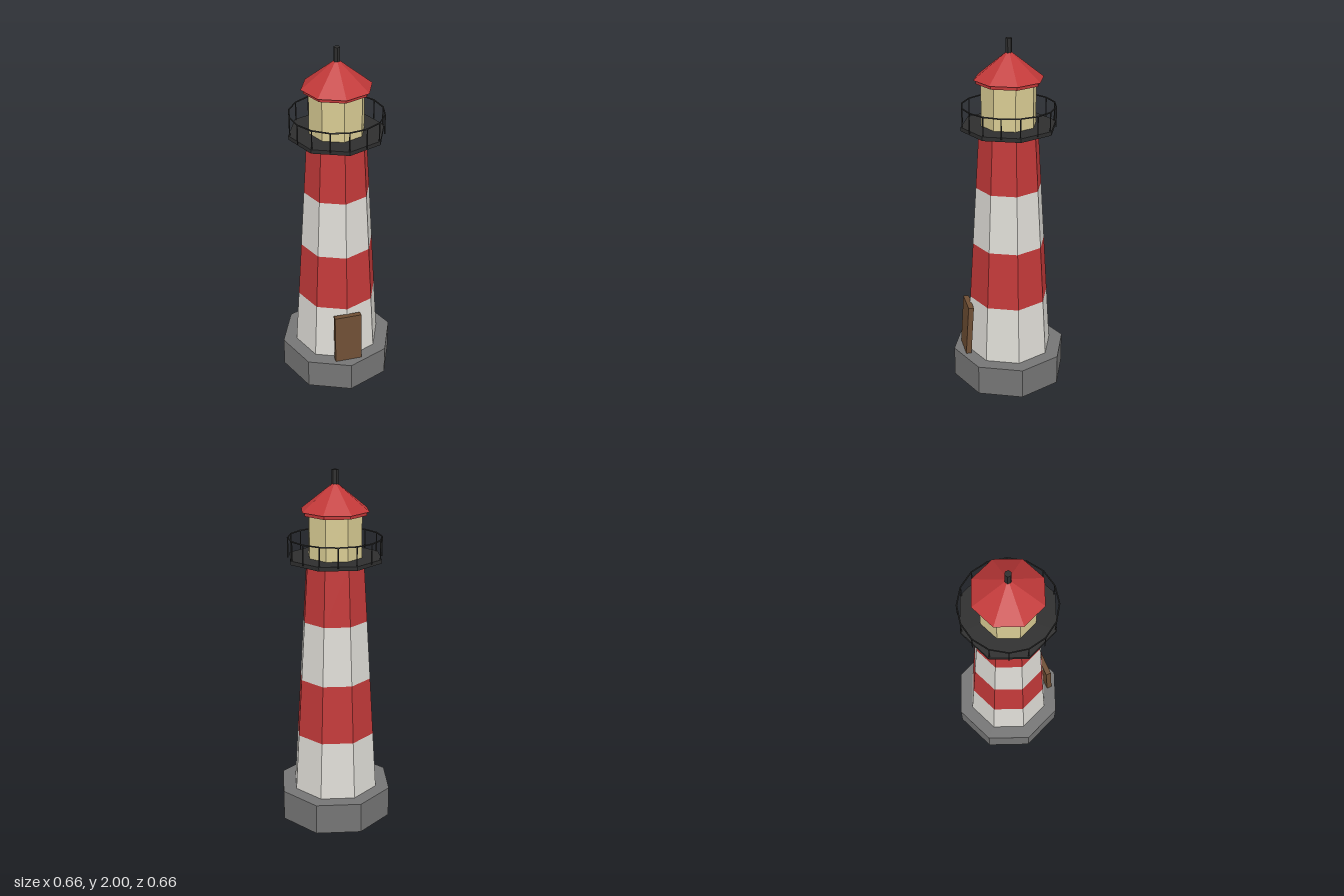
import * as THREE from 'three';

const mat = (name, color) => {
  const m = new THREE.MeshStandardMaterial({ color, flatShading: true });
  m.name = name;
  return m;
};

export function createModel() {
  const stone = mat('stone grey', 0x757575);
  const white = mat('white paint', 0xdddbd5);
  const red = mat('red paint', 0xc23939);
  const iron = mat('dark iron', 0x2e2e2e);
  const glass = mat('warm glass', 0xd8cb93);
  const wood = mat('brown wood', 0x6e4e34);

  const model = new THREE.Group();
  model.name = 'lighthouse';

  const add = (name, geometry, material, parent = model) => {
    const mesh = new THREE.Mesh(geometry, material);
    mesh.name = name;
    parent.add(mesh);
    return mesh;
  };
  // Faceted drum between two heights, with a corner facing the front
  const drum = (name, rBottom, rTop, y0, y1, material, sides = 8) => {
    const mesh = add(name, new THREE.CylinderGeometry(rTop, rBottom, y1 - y0, sides), material);
    mesh.position.y = (y0 + y1) / 2;
    return mesh;
  };

  drum('base', 0.33, 0.33, 0, 0.177, stone);

  // Tapered tower in four painted bands
  const towerY = 0.177, towerTop = 1.517, bands = 4;
  const radiusAt = (t) => THREE.MathUtils.lerp(0.25, 0.165, t);
  for (let i = 0; i < bands; i++) {
    const t0 = i / bands, t1 = (i + 1) / bands;
    drum(`towerBand${i + 1}`, radiusAt(t0), radiusAt(t1),
      THREE.MathUtils.lerp(towerY, towerTop, t0),
      THREE.MathUtils.lerp(towerY, towerTop, t1), i % 2 ? red : white);
  }

  // Door leaning with the tower wall
  const door = add('door', new THREE.BoxGeometry(0.156, 0.298, 0.031), wood);
  door.position.set(0, 0.327, 0.249);
  door.rotation.x = -0.063;

  // Gallery deck and railing
  drum('galleryDeck', 0.263, 0.263, 1.514, 1.536, iron);
  const railing = new THREE.Group();
  railing.name = 'railing';
  model.add(railing);
  const posts = 16, railRadius = 0.255, railY = 1.639;
  const rail = add('handrail', new THREE.TorusGeometry(railRadius, 0.004, 6, posts), iron, railing);
  rail.rotation.x = Math.PI / 2;
  rail.position.y = railY;
  const postGeometry = new THREE.CylinderGeometry(0.0035, 0.0035, railY - 1.53, 6);
  for (let i = 0; i < posts; i++) {
    const a = (i / posts) * Math.PI * 2;
    const post = add('railPost', postGeometry, iron, railing);
    post.position.set(Math.sin(a) * railRadius, (railY + 1.53) / 2, Math.cos(a) * railRadius);
  }

  // Lantern room, eave, roof and finial
  drum('lanternRoom', 0.152, 0.152, 1.536, 1.768, glass);
  drum('eave', 0.178, 0.178, 1.766, 1.786, red);
  const roof = add('roof', new THREE.ConeGeometry(0.192, 0.152, 8), red);
  roof.position.y = 1.862;
  drum('finial', 0.018, 0.018, 1.92, 2, iron, 6);

  return model;
}
